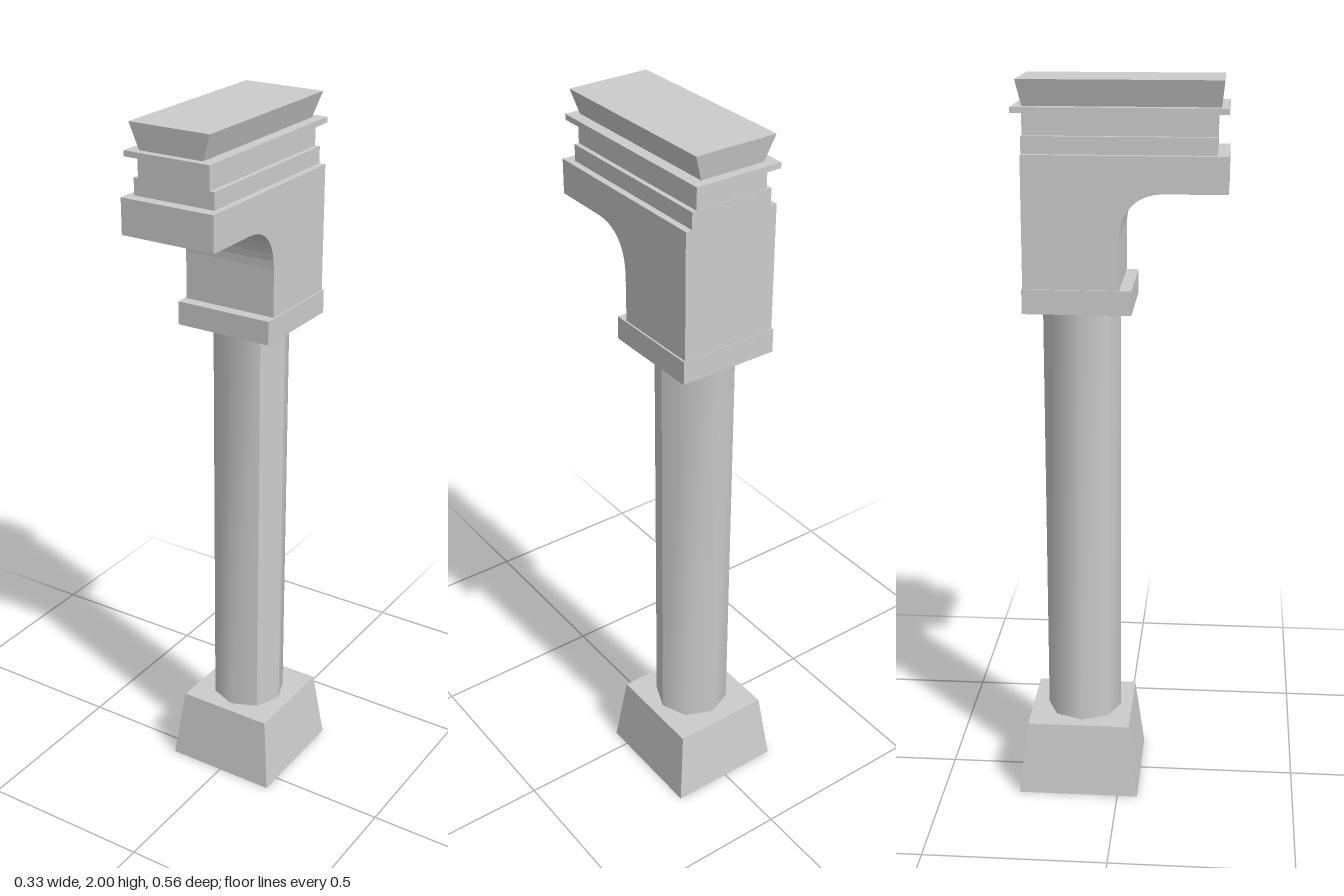
import * as THREE from 'three';

const grey = new THREE.MeshStandardMaterial({ color: 0xcccccc });

// Box from y0 to y1 with its own rectangle [halfWidth, zBack, zFront] at each end
function block(name, y0, y1, bottom, top = bottom) {
  const geo = new THREE.BoxGeometry(1, 1, 1);
  const p = geo.attributes.position;
  for (let i = 0; i < p.count; i++) {
    const upper = p.getY(i) > 0;
    const [w, back, front] = upper ? top : bottom;
    p.setXYZ(i, Math.sign(p.getX(i)) * w, upper ? y1 : y0, p.getZ(i) > 0 ? front : back);
  }
  geo.computeVertexNormals();
  const mesh = new THREE.Mesh(geo, grey);
  mesh.name = name;
  return mesh;
}

// Octagonal shaft: runs of faces that are smooth within, creased between
function makeShaft() {
  const shaft = new THREE.Group();
  shaft.name = 'shaft';
  const step = Math.PI / 4;
  for (const [start, count] of [[1, 1], [2, 2], [4, 5]]) {
    const geo = new THREE.CylinderGeometry(0.105, 0.105, 1.2, count, 1, true, start * step, count * step);
    geo.computeVertexNormals();
    const mesh = new THREE.Mesh(geo, grey);
    mesh.name = 'shaftFaces';
    mesh.position.set(0, 0.805, -0.107);
    shaft.add(mesh);
  }
  return shaft;
}

// Bracket: side profile (z, y) with a curved underside, extruded across x
function makeBracket() {
  const s = new THREE.Shape();
  s.moveTo(-0.248, 1.47);
  s.lineTo(0.004, 1.47);
  s.lineTo(0.004, 1.6);
  s.bezierCurveTo(0.006, 1.68, 0.05, 1.718, 0.115, 1.72);
  s.lineTo(0.281, 1.72);
  s.lineTo(0.281, 1.815);
  s.lineTo(-0.248, 1.815);
  s.closePath();
  const geo = new THREE.ExtrudeGeometry(s, { depth: 0.27, bevelEnabled: false, curveSegments: 10 });
  geo.translate(0, 0, -0.135);
  geo.rotateY(-Math.PI / 2);
  const mesh = new THREE.Mesh(geo, grey);
  mesh.name = 'bracket';
  return mesh;
}

export function createModel() {
  const model = new THREE.Group();
  model.name = 'bracketedColumn';
  model.add(
    // Tapered foot and column
    block('base', 0, 0.208, [0.165, -0.281, 0.057], [0.14, -0.256, 0.031]),
    makeShaft(),
    // Capital and bracket
    block('capitalSlab', 1.405, 1.47, [0.14, -0.25, 0.036]),
    makeBracket(),
    // Stacked mouldings
    block('lowerMoulding', 1.815, 1.86, [0.117, -0.248, 0.25]),
    block('neckMoulding', 1.86, 1.917, [0.104, -0.246, 0.25]),
    block('cornice', 1.917, 1.932, [0.123, -0.273, 0.279]),
    block('crown', 1.932, 2, [0.092, -0.247, 0.259], [0.116, -0.26, 0.266])
  );
  return model;
}
